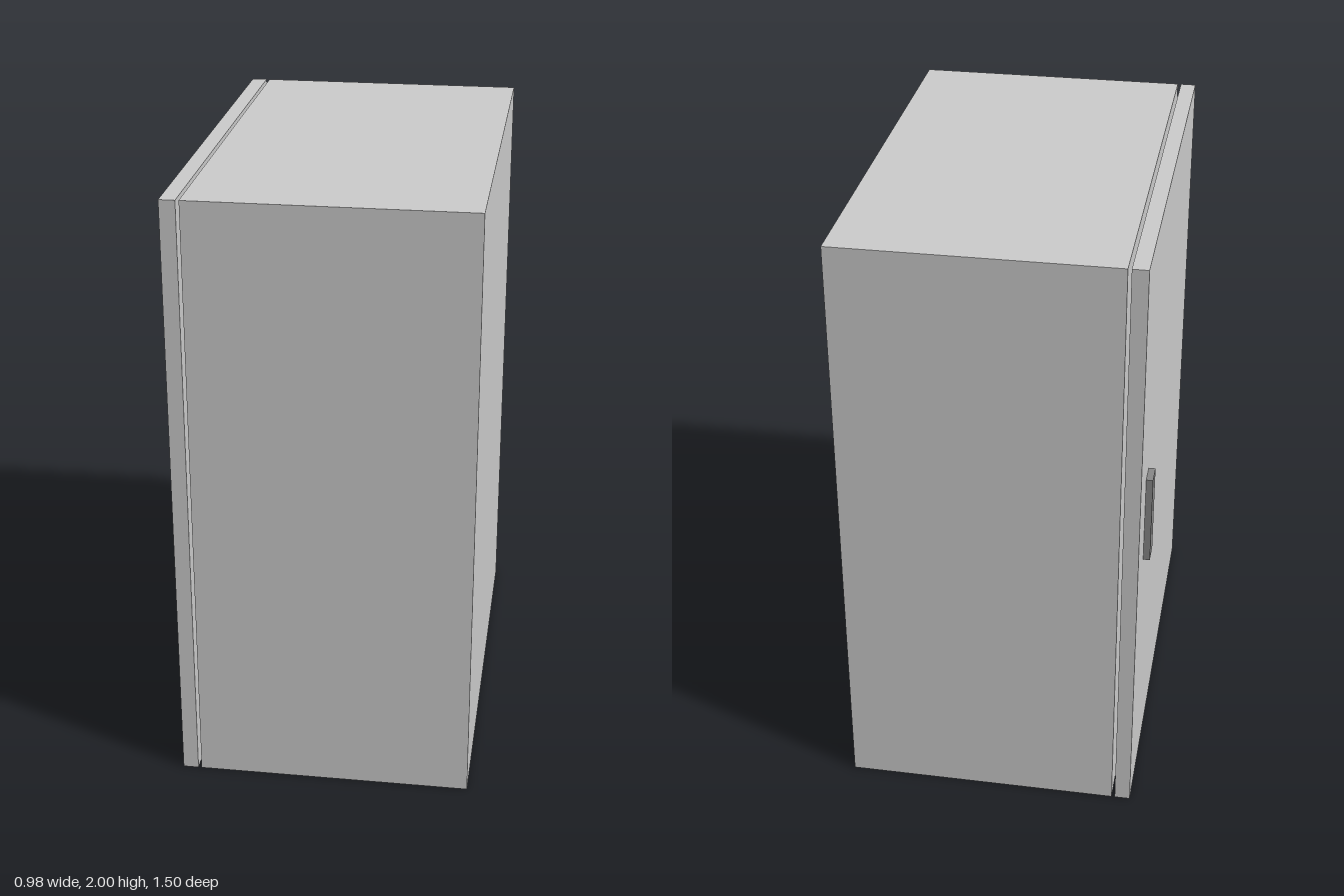
import * as THREE from 'three';

// Box spanning two opposite corners
function block(name, min, max, color = 0xcccccc) {
  const size = max.map((v, i) => v - min[i]);
  const mesh = new THREE.Mesh(
    new THREE.BoxGeometry(...size),
    new THREE.MeshStandardMaterial({ color })
  );
  mesh.name = name;
  mesh.position.set(...max.map((v, i) => (v + min[i]) / 2));
  return mesh;
}

export function createModel() {
  const cabinet = new THREE.Group();
  cabinet.name = 'cabinet';

  // Main body
  cabinet.add(block('body', [-0.409, 0, -0.75], [0.491, 2, 0.75]));

  // Door slab, set off from the body by a narrow gap
  const door = new THREE.Group();
  door.name = 'door';
  door.add(block('doorPanel', [-0.471, 0, -0.75], [-0.42, 2, 0.75]));

  // Upright pull near the door's rear edge
  door.add(block('handle', [-0.493, 0.89, -0.597], [-0.471, 1.195, -0.524], 0x888888));
  cabinet.add(door);

  return cabinet;
}
